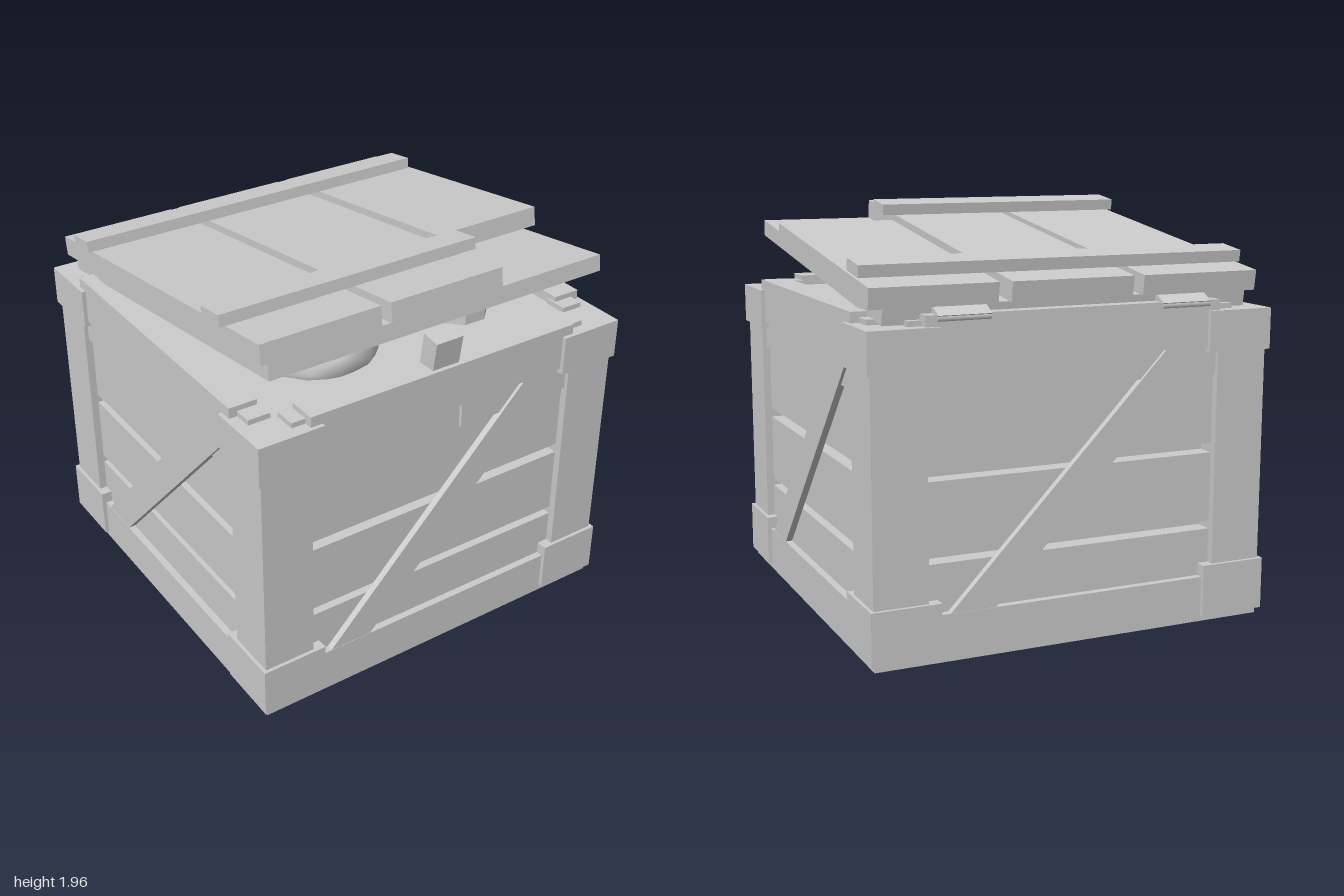
import * as THREE from 'three';

export function createModel() {
  const model = new THREE.Group();
  model.name = 'crate';
  const wood = new THREE.MeshStandardMaterial({ color: 0xcccccc });
  wood.name = 'plain grey';

  const add = (parent, name, geometry) => {
    const mesh = new THREE.Mesh(geometry, wood);
    mesh.name = name;
    parent.add(mesh);
    return mesh;
  };
  // Box given by its limits on each axis
  const box = (parent, name, [x0, x1], [y0, y1], [z0, z1]) => {
    const mesh = add(parent, name, new THREE.BoxGeometry(x1 - x0, y1 - y0, z1 - z0));
    mesh.position.set((x0 + x1) / 2, (y0 + y1) / 2, (z0 + z1) / 2);
    return mesh;
  };
  // Flat outline given depth from z0 to z1
  const cutBoard = (parent, name, points, z0, z1) => {
    const shape = new THREE.Shape(points.map(([x, y]) => new THREE.Vector2(x, y)));
    const mesh = add(parent, name, new THREE.ExtrudeGeometry(shape, { depth: z1 - z0, bevelEnabled: false }));
    mesh.position.z = z0;
    return mesh;
  };

  // Filled core behind the planks
  box(model, 'core', [-0.86, 0.86], [0.12, 1.5], [-0.86, 0.86]);

  // Four sides: each carries its rails, planks, brace and one corner
  for (let i = 0; i < 4; i++) {
    const side = new THREE.Group();
    side.name = ['front', 'left', 'back', 'right'][i] + 'Side';
    side.rotation.y = i * Math.PI / 2;
    model.add(side);

    box(side, 'bottomRail', [-0.98, 0.98], [0, 0.22], [0.82, 0.98]);
    box(side, 'topRail', [-0.73, 0.73], [1.33, 1.55], [0.84, 0.98]);
    for (const [y0, y1] of [[0.2, 0.445], [0.485, 0.818], [0.865, 1.34]]) {
      box(side, 'plank', [-0.75, 0.75], [y0, y1], [0.86, 0.945]);
    }
    // Upper overlay board, snapped in two on the front
    if (i === 0) {
      cutBoard(side, 'brokenBoardEnd', [[-0.74, 1.127], [-0.25, 1.245], [-0.27, 1.34], [-0.74, 1.34]], 0.945, 0.963);
      box(side, 'brokenBoardRest', [0.1, 0.75], [1.197, 1.34], [0.945, 0.963]);
    } else {
      box(side, 'upperBoard', [-0.75, 0.75], [1.197, 1.34], [0.945, 0.963]);
    }
    cutBoard(side, 'diagonalBrace',
      [[-0.63, 0.21], [-0.41, 0.21], [0.64, 1.31], [0.61, 1.345], [0.465, 1.345]], 0.945, 0.978);

    // Corner post with a block at each end and small plates on top
    box(side, 'cornerPost', [0.725, 0.983], [0.2, 1.4], [0.725, 0.983]);
    box(side, 'lowerCornerBlock', [0.69, 1], [0.03, 0.28], [0.69, 1]);
    box(side, 'lowerCornerFace', [0.67, 1], [0.03, 0.28], [0.9, 1]);
    box(side, 'lowerCornerFace', [0.9, 1], [0.03, 0.28], [0.67, 1]);
    box(side, 'upperCornerBlock', [0.67, 1], [1.305, 1.5], [0.67, 1]);
    box(side, 'cornerPlate', [0.83, 0.94], [1.5, 1.525], [0.68, 0.8]);
    box(side, 'cornerPlate', [0.72, 0.82], [1.5, 1.525], [0.83, 0.94]);
  }

  // Lid, propped open towards the front
  const lid = new THREE.Group();
  lid.name = 'lid';
  lid.position.y = 1.713;
  lid.rotation.x = -8 * Math.PI / 180;
  model.add(lid);
  box(lid, 'lidBase', [-0.905, 0.9], [-0.08, 0], [-0.925, 0.94]);
  box(lid, 'lidPlank', [-0.94, -0.342], [0, 0.095], [-0.952, 0.949]);
  box(lid, 'lidPlank', [-0.29, 0.313], [0, 0.095], [-0.952, 0.949]);
  box(lid, 'shortLidPlank', [0.375, 0.973], [0, 0.095], [-0.952, 0.403]);
  box(lid, 'frontBatten', [-0.967, 0.382], [0.095, 0.151], [0.527, 0.678]);
  box(lid, 'backBatten', [-0.96, 0.96], [0.095, 0.151], [-0.777, -0.625]);

  // Hinges on the back edge
  for (const x of [-0.55, 0.55]) {
    const hinge = box(model, 'hingePlate', [x - 0.125, x + 0.125], [1.54, 1.57], [-0.985, -0.895]);
    hinge.rotation.x = -0.5;
    const pin = add(model, 'hingePin', new THREE.CylinderGeometry(0.018, 0.018, 0.25, 8));
    pin.rotation.z = Math.PI / 2;
    pin.position.set(x, 1.535, -0.97);
  }

  // Catch leaning out over the front rail
  const latch = box(model, 'catch', [-0.075, 0.07], [1.5, 1.7], [0.87, 0.965]);
  latch.rotation.x = 0.15;

  // Contents showing under the lid
  const jar = add(model, 'jar', new THREE.CylinderGeometry(0.15, 0.15, 0.32, 8).toNonIndexed());
  jar.geometry.computeVertexNormals();
  jar.rotation.y = Math.PI / 8;
  jar.position.set(0.42, 1.56, 0.5);
  const rock = add(model, 'rock', new THREE.IcosahedronGeometry(1, 1));
  rock.scale.set(0.32, 0.18, 0.3);
  rock.rotation.y = 0.4;
  rock.position.set(-0.34, 1.53, 0.42);
  const block = box(model, 'packedBlock', [-0.06, 0.24], [1.4, 1.66], [0.03, 0.35]);
  block.rotation.z = -0.06;

  return model;
}
